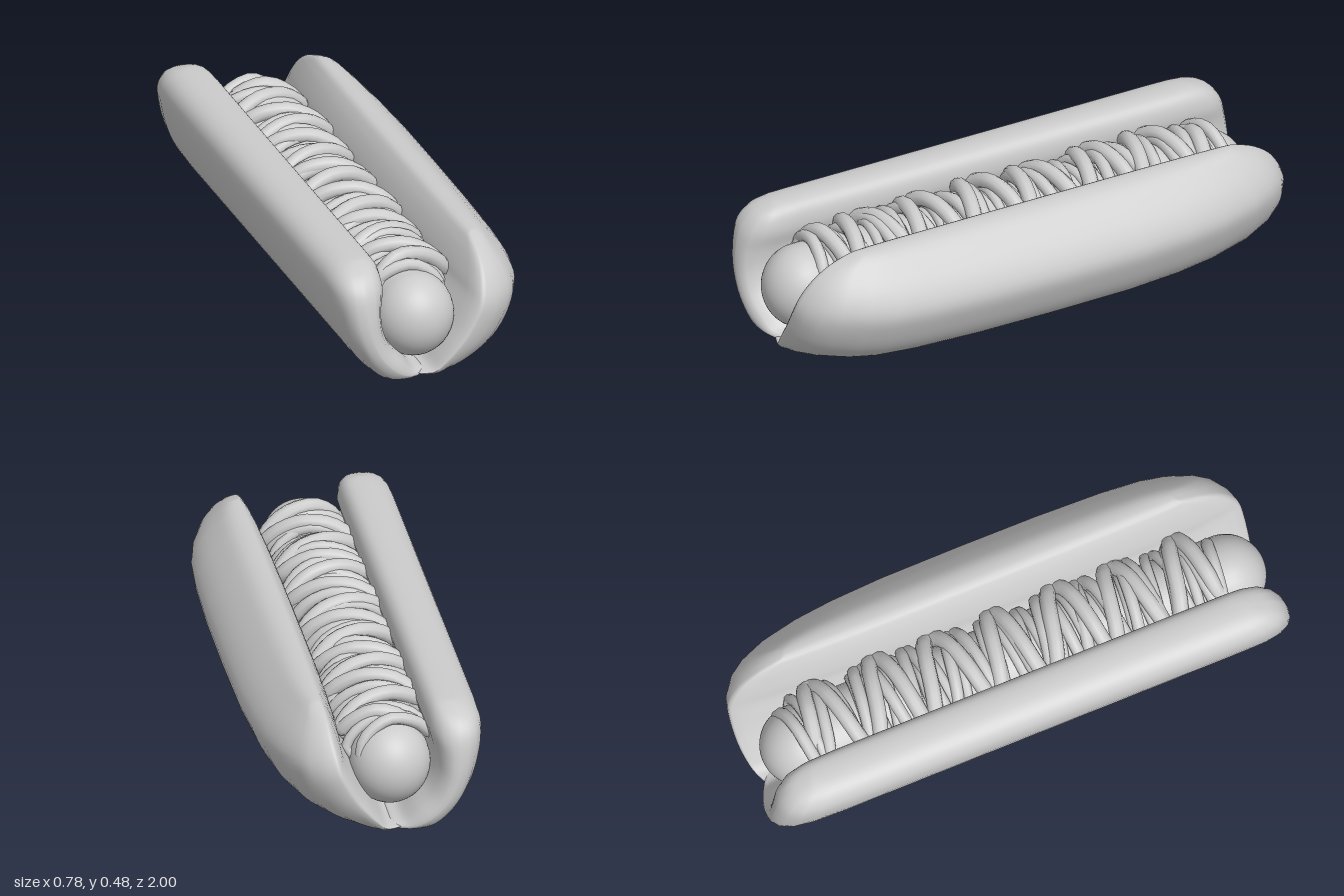
import * as THREE from 'three';

const material = new THREE.MeshStandardMaterial({ color: 0xcccccc, side: THREE.DoubleSide });
const CX = -0.067, CY = 0.237; // sausage axis

function addMesh(group, name, geometry) {
  const mesh = new THREE.Mesh(geometry, material);
  mesh.name = name;
  group.add(mesh);
}

// Lofts a bun half along z. Outer and inner points are paired; towards the ends the section
// thins onto the line between them, while its lower and upper edges draw back in z.
// Stations are [z, thickness].
function bunHalf(outer, inner, bias, stations, lowDrop, highDrop) {
  const n = outer.length;
  const spine = outer.map(([x, y], i) => [
    x + (inner[i][0] - x) * bias, y + (inner[i][1] - y) * bias]);
  const mid = [...spine, ...[...spine].reverse()];
  const ring = [...outer, ...[...inner].reverse()];
  const samples = 72, pos = [], index = [];
  for (const [z, thick] of stations) {
    const pts = ring.map(([x, y], i) => {
      const [mx, my] = mid[i];
      const u = 2 * Math.min(i, 2 * n - 1 - i) / (n - 1) - 1; // -1 hinge, 1 top edge
      const drop = (u < 0 ? lowDrop : highDrop) * Math.abs(u) ** 2.4;
      return new THREE.Vector3(
        mx + (x - mx) * thick, my + (y - my) * thick, z - Math.sign(z) * drop * z ** 4);
    });
    const curve = new THREE.CatmullRomCurve3(pts, true, 'centripetal');
    // Half-step offset makes sample i face sample (samples - 1 - i)
    for (let i = 0; i < samples; i++) {
      const t = (i + 0.5) / samples - 0.25 / n + 1;
      pos.push(...curve.getPoint(t % 1).toArray());
    }
  }
  const flip = THREE.ShapeUtils.isClockWise(ring.map(([x, y]) => new THREE.Vector2(x, y)));
  const quad = (a, b, c, d, reverse) => {
    if (reverse) index.push(a, d, b, b, d, c);
    else index.push(a, b, d, b, c, d);
  };
  const last = (stations.length - 1) * samples;
  for (let k = 0; k < last; k += samples) {
    for (let i = 0; i < samples; i++) {
      const j = (i + 1) % samples;
      quad(k + i, k + j, k + j + samples, k + i + samples, flip);
    }
  }
  // Narrow seams closing both ends
  for (let i = 0; i < samples / 2 - 1; i++) {
    const c = samples - 2 - i, d = samples - 1 - i;
    quad(i, i + 1, c, d, !flip);
    quad(last + i, last + i + 1, last + c, last + d, flip);
  }
  const geo = new THREE.BufferGeometry();
  geo.setAttribute('position', new THREE.Float32BufferAttribute(pos, 3));
  geo.setIndex(index);
  geo.computeVertexNormals();
  return geo;
}

// A strand of sauce zigzagging over the top of the sausage, its ends sunk into the meat
function sauceStrand(z0, z1, turns, phase, reach, radius, tube) {
  const pts = [];
  const n = turns * 12;
  for (let i = 0; i <= n; i++) {
    const t = i / n;
    const wave = t * turns * Math.PI * 2 + phase;
    const angle = reach * Math.sin(wave) + 0.04;
    const sink = 0.07 * Math.max(0, 1 - Math.min(i, n - i) / 3);
    const r = radius - sink + 0.005 * Math.sin(wave * 0.37 + phase);
    pts.push(new THREE.Vector3(
      CX + r * Math.sin(angle),
      CY + r * Math.cos(angle),
      z0 + (z1 - z0) * t + 0.012 * Math.sin(wave * 0.61 + phase * 2)));
  }
  return new THREE.TubeGeometry(new THREE.CatmullRomCurve3(pts), n * 2, tube, 10);
}

export function createModel() {
  const model = new THREE.Group();
  model.name = 'hotDog';
  const bun = new THREE.Group();
  bun.name = 'bun';
  model.add(bun);

  // Slim upright half
  addMesh(bun, 'rightBunHalf', bunHalf(
    [[-0.04, 0.028], [-0.14, 0.022], [-0.21, 0.033], [-0.28, 0.095], [-0.33, 0.17],
      [-0.37, 0.275], [-0.39, 0.4], [-0.37, 0.45], [-0.32, 0.478]],
    [[-0.05, 0.05], [-0.09, 0.065], [-0.135, 0.12], [-0.185, 0.18], [-0.21, 0.25],
      [-0.21, 0.32], [-0.195, 0.39], [-0.205, 0.45], [-0.235, 0.478]],
    0.5,
    [[-1, 0.05], [-0.996, 0.3], [-0.98, 0.58], [-0.94, 0.83], [-0.87, 0.96],
      [-0.75, 1], [-0.4, 1], [0, 1], [0.4, 1], [0.8, 1],
      [0.88, 0.97], [0.94, 0.84], [0.975, 0.62], [0.991, 0.36], [0.996, 0.05]],
    0.08, 0.15));

  // Full, leaning half
  addMesh(bun, 'leftBunHalf', bunHalf(
    [[-0.08, 0.03], [0.01, 0.005], [0.09, 0], [0.17, 0.013], [0.25, 0.045], [0.315, 0.1],
      [0.365, 0.19], [0.388, 0.27], [0.36, 0.345], [0.295, 0.425], [0.235, 0.474]],
    [[-0.08, 0.047], [-0.04, 0.06], [-0.01, 0.11], [0.015, 0.16], [0.04, 0.21], [0.065, 0.265],
      [0.09, 0.32], [0.1, 0.36], [0.12, 0.41], [0.143, 0.45], [0.172, 0.48]],
    0.8,
    [[-0.991, 0.04], [-0.983, 0.18], [-0.95, 0.38], [-0.9, 0.53], [-0.8, 0.71],
      [-0.65, 0.86], [-0.5, 0.94], [-0.3, 0.99], [0, 1], [0.3, 0.99], [0.55, 0.95],
      [0.7, 0.89], [0.8, 0.79], [0.9, 0.61], [0.95, 0.45], [0.983, 0.23], [0.992, 0.04]],
    0.05, 0.24));

  // Sausage
  const sausage = new THREE.CapsuleGeometry(0.146, 1.64, 16, 32);
  sausage.rotateX(Math.PI / 2);
  sausage.scale(1, 1.06, 1);
  sausage.translate(CX, CY, 0.023);
  addMesh(model, 'sausage', sausage);

  // Sauce in three layers, thicker towards the top
  addMesh(model, 'baseSauce', sauceStrand(-0.82, 0.84, 13, 0.4, 1.3, 0.158, 0.019));
  addMesh(model, 'middleSauce', sauceStrand(-0.84, 0.85, 10, 1.6, 1.2, 0.17, 0.023));
  addMesh(model, 'upperSauce', sauceStrand(-0.8, 0.82, 7, -1.4, 1.05, 0.184, 0.029));
  return model;
}
